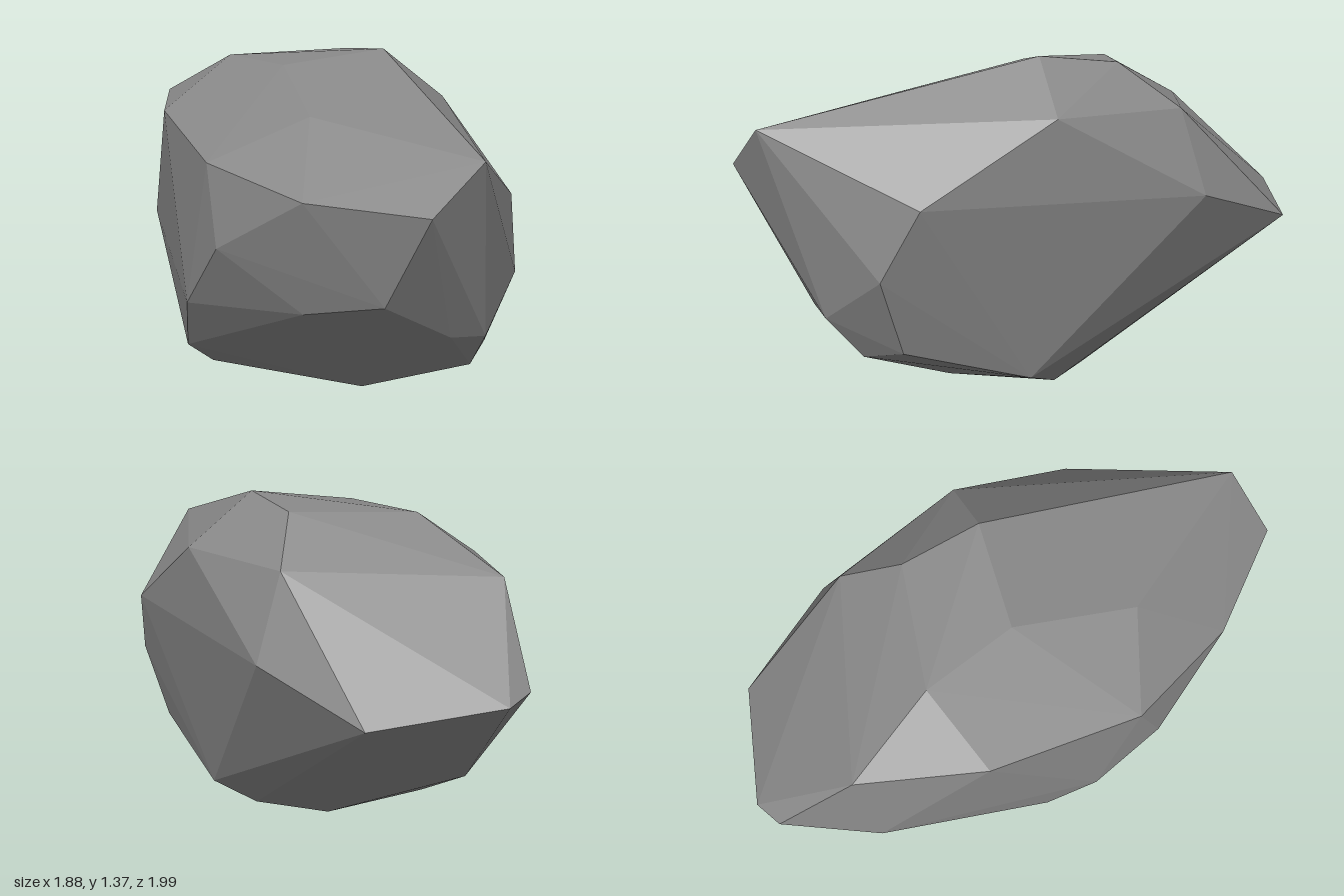
import * as THREE from 'three';
import { ConvexGeometry } from 'three/addons/geometries/ConvexGeometry.js';

// Corners of the faceted boulder, ring by ring
const crown = [
  [0.29, 1.365, -0.15], [0.06, 1.33, -0.40], [-0.41, 1.31, -0.17], [-0.08, 1.31, 0.08],
  [0.02, 1.15, -0.66], [0.51, 1.15, -0.32], [0.18, 1.18, 0.53],
  [0.91, 1.10, 0.78], [-0.79, 1.11, -0.37], [-0.60, 1.10, 0.13],
];
const girdle = [
  [0.77, 0.93, 0.99], [0.27, 0.93, 0.90], [-0.20, 1.00, 0.65], [-0.13, 0.685, 0.74],
  [0.89, 0.83, 0.08], [0.94, 0.55, 0.23], [0.08, 0.81, -0.79],
  [-0.39, 0.655, -1.00], [-0.88, 0.72, -0.79], [-0.94, 0.75, -0.67], [-0.83, 0.55, -0.28],
];
const underside = [
  [0.58, 0.56, 0.89], [0.23, 0.465, 0.77], [-0.34, 0.39, 0.54], [0.77, 0.385, 0.63],
  [0.88, 0.365, 0.51], [0.80, 0.20, 0.39], [0.82, 0.24, 0.20], [0.47, 0.085, -0.19],
  [-0.37, 0.46, -0.76], [-0.63, 0.20, -0.16], [-0.42, 0.14, 0.35],
];
const foot = [[0.32, 0, 0.25], [-0.39, 0, 0.14], [-0.05, 0, -0.21], [0.27, 0.015, -0.21]];

export function createModel() {
  const stone = new THREE.MeshStandardMaterial({ color: 0x888888 });
  stone.name = 'stone grey';
  stone.flatShading = true;

  // One angular block with flat facets
  const points = [...crown, ...girdle, ...underside, ...foot].map((p) => new THREE.Vector3(...p));
  const boulder = new THREE.Mesh(new ConvexGeometry(points), stone);
  boulder.name = 'boulder';

  const group = new THREE.Group();
  group.name = 'rock';
  group.add(boulder);
  return group;
}
